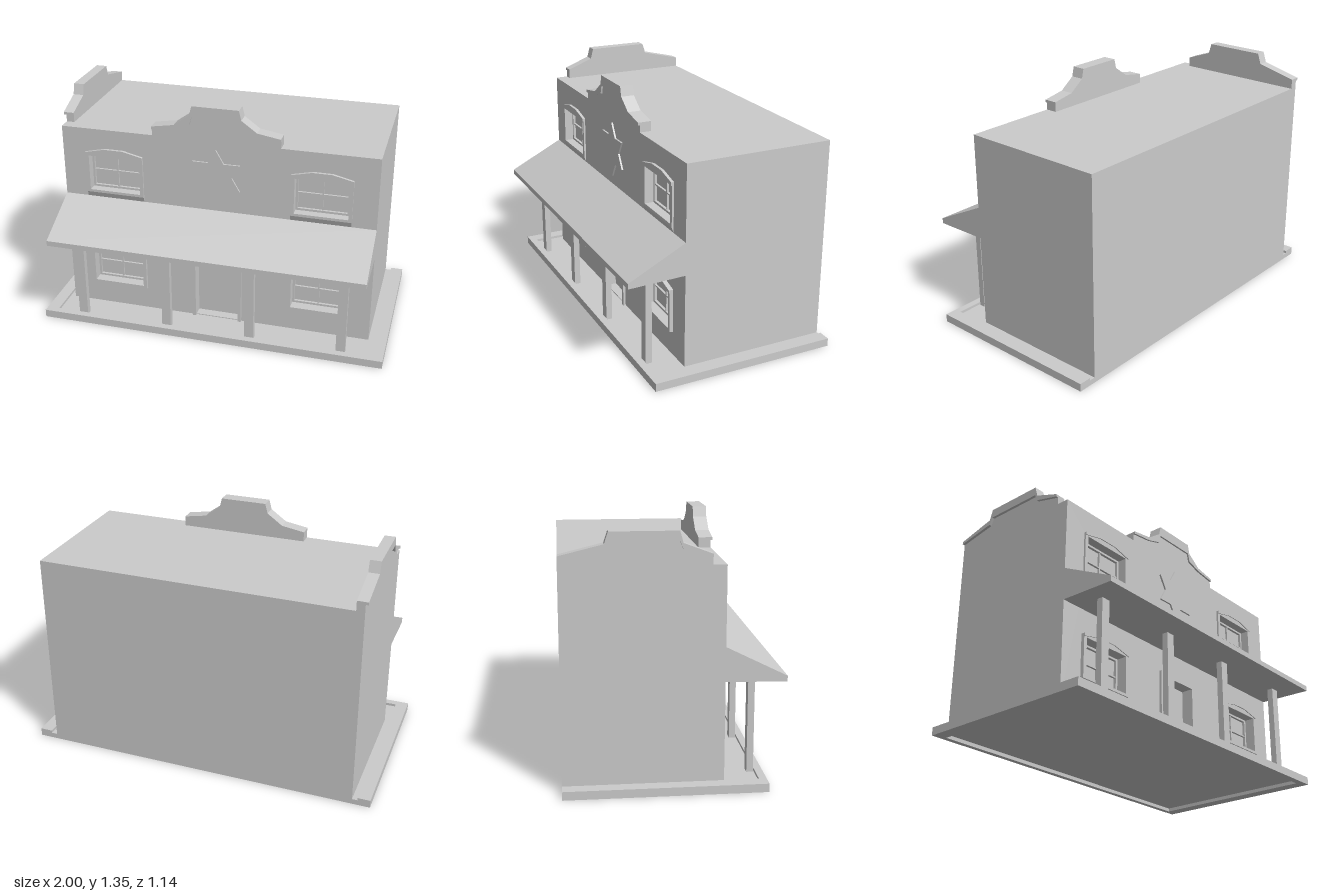
import * as THREE from 'three';

const material = new THREE.MeshStandardMaterial({ color: 0xcccccc, flatShading: true });

function add(parent, name, geometry, x = 0, y = 0, z = 0) {
  const mesh = new THREE.Mesh(geometry, material);
  mesh.name = name;
  mesh.position.set(x, y, z);
  parent.add(mesh);
  return mesh;
}

// Box given by its limits on each axis
function block(parent, name, x0, x1, y0, y1, z0, z1) {
  return add(parent, name, new THREE.BoxGeometry(x1 - x0, y1 - y0, z1 - z0),
    (x0 + x1) / 2, (y0 + y1) / 2, (z0 + z1) / 2);
}

const points = (list) => list.map(([x, y]) => new THREE.Vector2(x, y));
const rect = (x0, x1, y0, y1) => points([[x0, y0], [x1, y0], [x1, y1], [x0, y1]]);

function extrude(outline, depth, holes = []) {
  const shape = new THREE.Shape(outline);
  holes.forEach((h) => shape.holes.push(new THREE.Path(h)));
  return new THREE.ExtrudeGeometry(shape, { depth, bevelEnabled: false });
}

const WALL = 0.255, RECESS = 0.2, BACK = -0.57, LEFT = 0.895, RIGHT = -0.9, TOP = 1.15;
const HALF = 0.15; // half width of a window opening
const windows = [-0.595, 0.59].flatMap((x) => [
  { x, sill: 0.185, bottom: 0.165, front: 0.275 },
  { x, sill: 0.78, bottom: 0.735, front: 0.266 },
]);

function buildWindow({ x, sill, bottom, front }) {
  const group = new THREE.Group();
  group.name = 'window';
  const top = sill + 0.21, w = HALF + 0.02;
  // Surround with a shallow arched head
  const arch = [[w, top + 0.02], [0.055, top + 0.047], [-0.055, top + 0.047], [-w, top + 0.02]];
  add(group, 'windowSurround', extrude(
    points([[-w, sill - 0.015], [w, sill - 0.015], ...arch]), front - WALL,
    [rect(-HALF, HALF, sill, top)]), x, 0, WALL);
  const band = [...arch, ...arch.map(([px, py]) => [px, py - 0.018]).reverse()];
  add(group, 'windowHead', extrude(points(band), 0.005), x, 0, front);
  // Sloping underside of the sill
  const sillShape = points([[WALL - 0.01, bottom], [WALL, bottom], [front, sill - 0.015], [WALL - 0.01, sill - 0.015]]);
  const sillMesh = add(group, 'windowSill', extrude(sillShape, 2 * w), x + w, 0, 0);
  sillMesh.rotation.y = -Math.PI / 2;
  // Sash and glazing bars
  add(group, 'windowSash', extrude(rect(-HALF, HALF, sill, top), 0.015,
    [rect(-HALF + 0.012, HALF - 0.012, sill + 0.012, top - 0.012)]), x, 0, RECESS);
  block(group, 'verticalBar', x - 0.004, x + 0.004, sill, top, RECESS, RECESS + 0.012);
  block(group, 'horizontalBar', x - HALF, x + HALF, sill + 0.101, sill + 0.109, RECESS, RECESS + 0.012);
  return group;
}

// Panel with a projecting cap that follows its stepped top line
function buildParapet(name, line, drops, depth, overhang) {
  const group = new THREE.Group();
  group.name = name;
  const lower = line.map(([x, y], i) => [x, y - drops[i]]);
  const last = line.length - 1;
  add(group, 'parapetPanel', extrude(
    points([[line[0][0], TOP], [line[last][0], TOP], ...[...line].reverse()]), depth));
  add(group, 'parapetCap', extrude(points([...lower, ...[...line].reverse()]), overhang), 0, 0, depth);
  return group;
}

export function createModel() {
  const model = new THREE.Group();
  model.name = 'frontierBuilding';

  // Base: raised curb on three sides around a lower floor
  const base = new THREE.Group();
  base.name = 'base';
  model.add(base);
  block(base, 'floor', -0.93, 0.93, 0.02, 0.03, BACK + 0.01, 0.43);
  block(base, 'frontCurb', -1, 1, 0, 0.045, 0.43, 0.47);
  for (const s of [-1, 1]) {
    block(base, 'sideCurb', s > 0 ? 0.93 : -1, s > 0 ? 1 : -0.93, 0, 0.045, BACK, 0.43);
  }
  block(base, 'backFooting', -0.93, 0.93, 0, 0.03, BACK, BACK + 0.03);

  // Main body, with a front wall pierced for door and windows
  block(model, 'body', RIGHT, LEFT, 0.02, TOP, BACK, RECESS);
  const doorHole = rect(-0.125, 0.13, 0.035, 0.395);
  const holes = windows.map(({ x, sill }) => rect(x - HALF, x + HALF, sill, sill + 0.21));
  add(model, 'frontWall', extrude(rect(RIGHT, LEFT, 0.02, TOP), WALL - RECESS, [doorHole, ...holes]), 0, 0, RECESS);
  windows.forEach((w) => model.add(buildWindow(w)));

  // Door surround
  add(model, 'doorFrame', extrude(points([
    [-0.145, 0.03], [-0.125, 0.03], [-0.125, 0.395], [0.13, 0.395],
    [0.13, 0.03], [0.148, 0.03], [0.148, 0.42], [-0.145, 0.42],
  ]), 0.015), 0, 0, WALL);

  // Six-pointed star ornament
  const star = Array.from({ length: 12 }, (_, i) => {
    const r = i % 2 ? 0.09 : 0.157, a = Math.PI / 2 + i * Math.PI / 6;
    return [r * Math.cos(a), r * Math.sin(a)];
  });
  add(model, 'starOrnament', extrude(points(star), 0.01), 0, 0.947, WALL);

  // Porch roof wedge and posts
  const wedge = extrude(points([[0.25, 0.555], [0.57, 0.548], [0.57, 0.578], [0.255, 0.735], [0.25, 0.735]]), LEFT - RIGHT);
  const porchRoof = add(model, 'porchRoof', wedge, LEFT, 0, 0);
  porchRoof.rotation.y = -Math.PI / 2;
  for (const x of [-0.773, -0.257, 0.235, 0.76]) {
    block(model, 'porchPost', x - 0.026, x + 0.026, 0.03, 0.553, 0.39, 0.425);
  }

  // Stepped parapet over the front
  const frontParapet = buildParapet('frontParapet', [
    [-0.365, 1.205], [-0.235, 1.227], [-0.147, 1.29], [-0.133, 1.345],
    [0.13, 1.345], [0.143, 1.29], [0.23, 1.227], [0.36, 1.205],
  ], [0.015, 0.02, 0.055, 0.06, 0.06, 0.055, 0.02, 0.015], 0.065, 0.01);
  frontParapet.position.z = 0.19;
  model.add(frontParapet);

  // Matching parapet along the right side, its cap facing outwards
  const sideParapet = buildParapet('sideParapet', [
    [BACK, 1.205], [-0.345, 1.26], [-0.325, 1.32],
    [0.02, 1.32], [0.037, 1.26], [0.185, 1.205],
  ], [0.015, 0.03, 0.05, 0.05, 0.03, 0.015], 0.045, 0.015);
  sideParapet.rotation.y = -Math.PI / 2;
  sideParapet.position.x = -0.855;
  model.add(sideParapet);

  return model;
}
